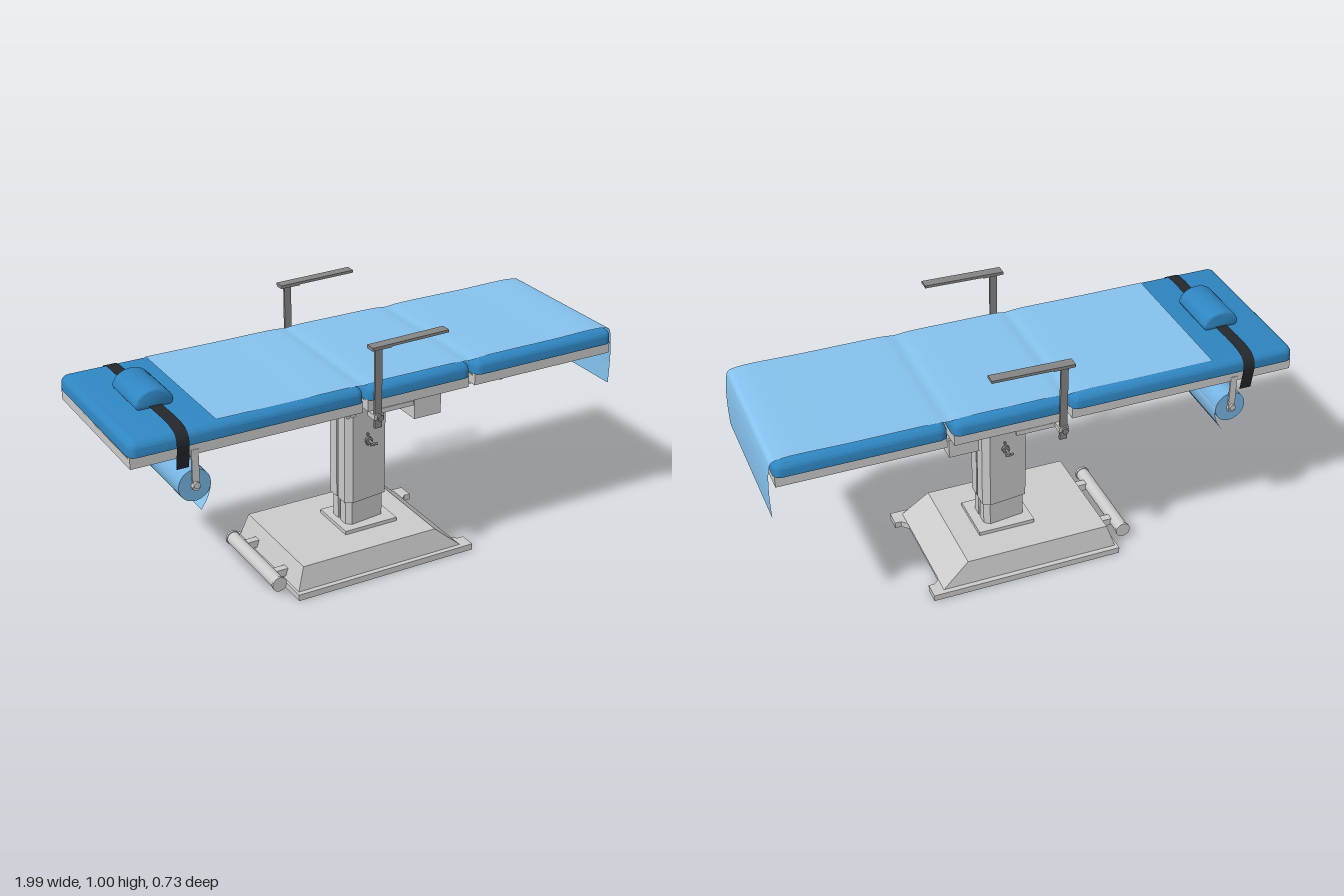
import * as THREE from 'three';
import { toCreasedNormals } from 'three/addons/utils/BufferGeometryUtils.js';
import { RoundedBoxGeometry } from 'three/addons/geometries/RoundedBoxGeometry.js';

const mat = (color, side = THREE.FrontSide) => new THREE.MeshStandardMaterial({ color, side });
const grey = mat(0xcccccc);
const greyThin = mat(0xcccccc, THREE.DoubleSide);
const steel = mat(0x858585);
const dark = mat(0x74746e);
const blue = mat(0x2f86c2);
const paper = mat(0x86c2ee, THREE.DoubleSide);
const rollBlue = mat(0x76b4e2);
const black = mat(0x24282d, THREE.DoubleSide);

export function createModel() {
  const root = new THREE.Group();

  const add = (name, geo, material = grey, pos = [0, 0, 0]) => {
    const m = new THREE.Mesh(geo, material);
    m.name = name;
    m.position.set(...pos);
    root.add(m);
    return m;
  };
  // Box given by its limits on each axis
  const box = (name, x0, x1, y0, y1, z0, z1, material = grey) =>
    add(name, new THREE.BoxGeometry(x1 - x0, y1 - y0, z1 - z0), material,
      [(x0 + x1) / 2, (y0 + y1) / 2, (z0 + z1) / 2]);
  // Round bar between two points
  const rod = (name, a, b, r, material = grey, sides = 16) => {
    const p = new THREE.Vector3(...a), q = new THREE.Vector3(...b);
    const m = add(name, new THREE.CylinderGeometry(r, r, p.distanceTo(q), sides), material);
    m.position.copy(p).add(q).multiplyScalar(0.5);
    m.quaternion.setFromUnitVectors(new THREE.Vector3(0, 1, 0), q.sub(p).normalize());
    return m;
  };
  const shapeOf = pts => new THREE.Shape(pts.map(p => new THREE.Vector2(...p)));
  // Plan shape (x, z) raised from y0 to y1
  const plan = (name, shape, y0, y1, material = grey) => {
    const geo = new THREE.ExtrudeGeometry(shape, { depth: y1 - y0, bevelEnabled: false, curveSegments: 24 });
    return add(name, geo.rotateX(-Math.PI / 2), material, [0, y0, 0]);
  };
  // Thin sheet following a profile in x and y, spread across z
  const ribbon = (name, pts, width, segs, material) => {
    const curve = new THREE.CatmullRomCurve3(pts.map(p => new THREE.Vector3(p[0], p[1], 0)), false, 'centripetal');
    const geo = new THREE.PlaneGeometry(1, width, segs, 1);
    const at = geo.attributes.position;
    for (let i = 0; i < at.count; i++) {
      const p = curve.getPoint(THREE.MathUtils.clamp(at.getX(i) + 0.5, 0, 1));
      at.setXYZ(i, p.x, p.y, -at.getY(i));
    }
    geo.computeVertexNormals();
    return add(name, geo, material);
  };
  const sides = fn => [1, -1].forEach(fn);

  // Base: plinth ring with two feet, then a tapered hollow cover
  const plinth = shapeOf([[-0.35, -0.265], [0.41, -0.265], [0.41, -0.2], [0.385, -0.2], [0.36, -0.175],
    [0.36, 0.175], [0.385, 0.2], [0.41, 0.2], [0.41, 0.265], [-0.35, 0.265]]);
  plinth.holes.push(new THREE.Path([[-0.31, -0.225], [-0.31, 0.225], [0.33, 0.225], [0.33, -0.225]]
    .map(p => new THREE.Vector2(...p))));
  plan('basePlinth', plinth, 0, 0.025);

  const rings = [[-0.34, 0.365, 0.025, 0.245], [-0.31, 0.26, 0.115, 0.227]].map(([x0, x1, y, z]) =>
    [[x0, y, z], [x1, y, z], [x1, y, -z], [x0, y, -z]]);
  const cover = [];
  const quad = (a, b, c, d) => cover.push(...a, ...b, ...c, ...a, ...c, ...d);
  for (let i = 0; i < 4; i++) {
    const j = (i + 1) % 4;
    quad(rings[0][i], rings[0][j], rings[1][j], rings[1][i]);
  }
  quad(...rings[1]);
  const coverGeo = new THREE.BufferGeometry();
  coverGeo.setAttribute('position', new THREE.Float32BufferAttribute(cover, 3));
  coverGeo.computeVertexNormals();
  add('baseCover', coverGeo, greyThin);
  box('baseUnderside', -0.3, 0.27, 0.095, 0.1, -0.225, 0.225, dark);
  box('baseSocket', -0.06, 0.165, 0.05, 0.095, -0.1, 0.1);

  // Transport roller on the base
  rod('roller', [-0.395, 0.05, -0.19], [-0.395, 0.05, 0.19], 0.026, grey, 24);
  sides(s => {
    rod('rollerCap', [-0.395, 0.05, s * 0.19], [-0.395, 0.05, s * 0.2], 0.029, grey, 24);
    box('rollerBracket', -0.395, -0.32, 0.035, 0.065, s * 0.12 - 0.015, s * 0.12 + 0.015);
  });

  // Telescopic column with chamfered corners and a groove on each end
  const columnShape = (hx, hz, cx, cz, g, d) => {
    const half = [[hx, -hz + cz], [hx, -g], [hx - d, -g], [hx - d, g], [hx, g], [hx, hz - cz], [hx - cx, hz]];
    const all = [...half, ...half.map(([x, z]) => [-x, -z])];
    return shapeOf(all.map(([x, z]) => [x + 0.048, z]));
  };
  box('columnCollar', -0.06, 0.165, 0.11, 0.13, -0.1, 0.1);
  plan('columnLower', columnShape(0.08, 0.065, 0.02, 0.018, 0.008, 0.008), 0.12, 0.24);
  plan('columnUpper', columnShape(0.088, 0.074, 0.026, 0.018, 0.005, 0.01), 0.228, 0.7);
  sides(s => {
    rod('columnStem', [0.05, 0.483, s * 0.07], [0.05, 0.483, s * 0.125], 0.005, steel);
    rod('columnKnob', [0.05, 0.483, s * 0.077], [0.05, 0.483, s * 0.088], 0.015, steel);
    rod('columnLever', [0.035, 0.483, s * 0.12], [0.065, 0.483, s * 0.12], 0.005, steel);
    [0.463, 0.505].forEach(y => rod('columnBolt', [0.05, y, s * 0.07], [0.05, y, s * 0.077], 0.005, steel, 10));
  });

  // Lifting mechanism under the seat
  box('columnHead', -0.03, 0.13, 0.69, 0.73, -0.09, 0.09);
  sides(s => {
    box('seatRail', -0.1, 0.32, 0.665, 0.68, s * 0.13 - 0.01, s * 0.13 + 0.01);
    [-0.07, 0.15].forEach(x => box('railPost', x - 0.01, x + 0.01, 0.675, 0.77, s * 0.13 - 0.008, s * 0.13 + 0.008));
    rod('backStrut', [-0.15, 0.74, s * 0.17], [-0.085, 0.65, s * 0.17], 0.012);
    box('legRail', 0.32, 0.5, 0.71, 0.722, s * 0.24 - 0.012, s * 0.24 + 0.012);
    rod('legStrut', [0.18, 0.7, s * 0.1], [0.52, 0.715, s * 0.2], 0.01);
    rod('legKnob', [0.52, 0.695, s * 0.24], [0.52, 0.735, s * 0.24], 0.012, steel);
  });
  [-0.085, 0.12].forEach(x => rod('crossBar', [x, 0.67, -0.2], [x, 0.67, 0.2], 0.012));
  box('legCrossBar', 0.49, 0.555, 0.71, 0.722, -0.25, 0.25);
  rod('actuator', [0.0, 0.685, 0], [0.3, 0.71, 0], 0.016, steel);
  box('controlBox', 0.19, 0.305, 0.577, 0.675, -0.175, 0.175);

  // Three padded sections, each on a hollow frame
  const sections = [['back', -0.995, -0.108], ['seat', -0.095, 0.337], ['leg', 0.355, 0.975]];
  for (const [name, x0, x1] of sections) {
    const pad = new RoundedBoxGeometry(x1 - x0, 0.11, 0.652, 5, 0.032);
    const at = pad.attributes.position;
    for (let i = 0; i < at.count; i++) at.setY(i, Math.max(at.getY(i), 0));
    add(name + 'Cushion', toCreasedNormals(pad, 0.7), blue, [(x0 + x1) / 2, 0.775, 0]);

    const a = x0 + 0.004, b = x1 - 0.004;
    sides(s => box(name + 'SideRail', a, b, 0.732, 0.776, s * 0.302 - 0.012, s * 0.302 + 0.012));
    [a, b - 0.02].forEach(x => box(name + 'EndRail', x, x + 0.02, 0.732, 0.776, -0.3, 0.3));
    const panel = shapeOf([[a, -0.3], [b, -0.3], [b, 0.3], [a, 0.3]]);
    if (name === 'seat') panel.holes.push(new THREE.Path().absellipse(0.24, 0, 0.06, 0.15, 0, Math.PI * 2));
    plan(name + 'Panel', panel, 0.764, 0.774, dark);
  }

  // Paper cover along the top, hanging over the foot end
  ribbon('paperCover', [[-0.67, 0.834], [-0.4, 0.833], [-0.14, 0.833], [-0.1, 0.829], [-0.06, 0.833], [0.12, 0.834],
    [0.3, 0.833], [0.345, 0.829], [0.39, 0.833], [0.7, 0.834], [0.94, 0.834], [0.975, 0.824], [0.986, 0.79],
    [0.992, 0.7], [0.99, 0.596]], 0.6, 120, paper);

  // Paper roll on its hangers with a loose end
  rod('paperRoll', [-0.76, 0.61, -0.303], [-0.76, 0.61, 0.303], 0.06, rollBlue, 40);
  ribbon('paperRollEnd', [[-0.703, 0.63], [-0.699, 0.6], [-0.712, 0.55], [-0.738, 0.507]], 0.6, 12, paper);
  rod('rollAxle', [-0.76, 0.61, -0.32], [-0.76, 0.61, 0.32], 0.014, grey);
  sides(s => {
    box('rollHanger', -0.772, -0.746, 0.6, 0.75, s * 0.312 - 0.004, s * 0.312 + 0.004);
    rod('rollKnob', [-0.76, 0.618, s * 0.313], [-0.76, 0.618, s * 0.325], 0.012);
  });

  // Head pillow and the strap that holds it
  const dome = new THREE.Shape();
  dome.moveTo(-0.056, 0.008);
  dome.lineTo(0.056, 0.008);
  dome.quadraticCurveTo(0.064, 0.014, 0.058, 0.024);
  dome.bezierCurveTo(0.04, 0.068, -0.04, 0.068, -0.058, 0.024);
  dome.quadraticCurveTo(-0.064, 0.014, -0.056, 0.008);
  const pillow = new THREE.ExtrudeGeometry(dome, {
    depth: 0.196, bevelThickness: 0.01, bevelSize: 0.01, bevelSegments: 4, curveSegments: 12 });
  add('headPillow', toCreasedNormals(pillow, 0.7), blue, [-0.807, 0.831, -0.098]);
  ribbon('headStrap', [[-0.318, 0.692], [-0.326, 0.74], [-0.332, 0.785], [-0.325, 0.815], [-0.296, 0.835], [0, 0.835],
    [0.296, 0.835], [0.325, 0.815], [0.332, 0.785], [0.326, 0.74], [0.318, 0.692]], 0.046, 70, black)
    .rotation.y = Math.PI / 2;
  root.getObjectByName('headStrap').position.x = -0.807;

  // Arm supports clamped to the seat rails
  sides(s => {
    box('armPost', -0.08, -0.052, 0.675, 0.988, s * 0.34 - 0.005, s * 0.34 + 0.005, steel);
    const rest = box('armRest', -0.1, 0.21, 0.986, 0.996, s * 0.34 - 0.02, s * 0.34 + 0.02, steel);
    rest.rotation.z = 0.02;
    box('armRestBracket', -0.1, -0.02, 0.98, 0.99, s * 0.34 - 0.018, s * 0.34 + 0.018, steel);
    box('armClamp', -0.085, -0.047, 0.71, 0.73, s * 0.325 - 0.025, s * 0.325 + 0.025);
    rod('clampScrew', [-0.066, 0.72, s * 0.34], [-0.066, 0.72, s * 0.362], 0.005, steel);
    rod('clampKnob', [-0.066, 0.72, s * 0.356], [-0.066, 0.72, s * 0.364], 0.012, steel);
    box('accessoryRail', -0.085, 0.1, 0.712, 0.73, s * 0.308 - 0.005, s * 0.308 + 0.005);
  });

  return root;
}
